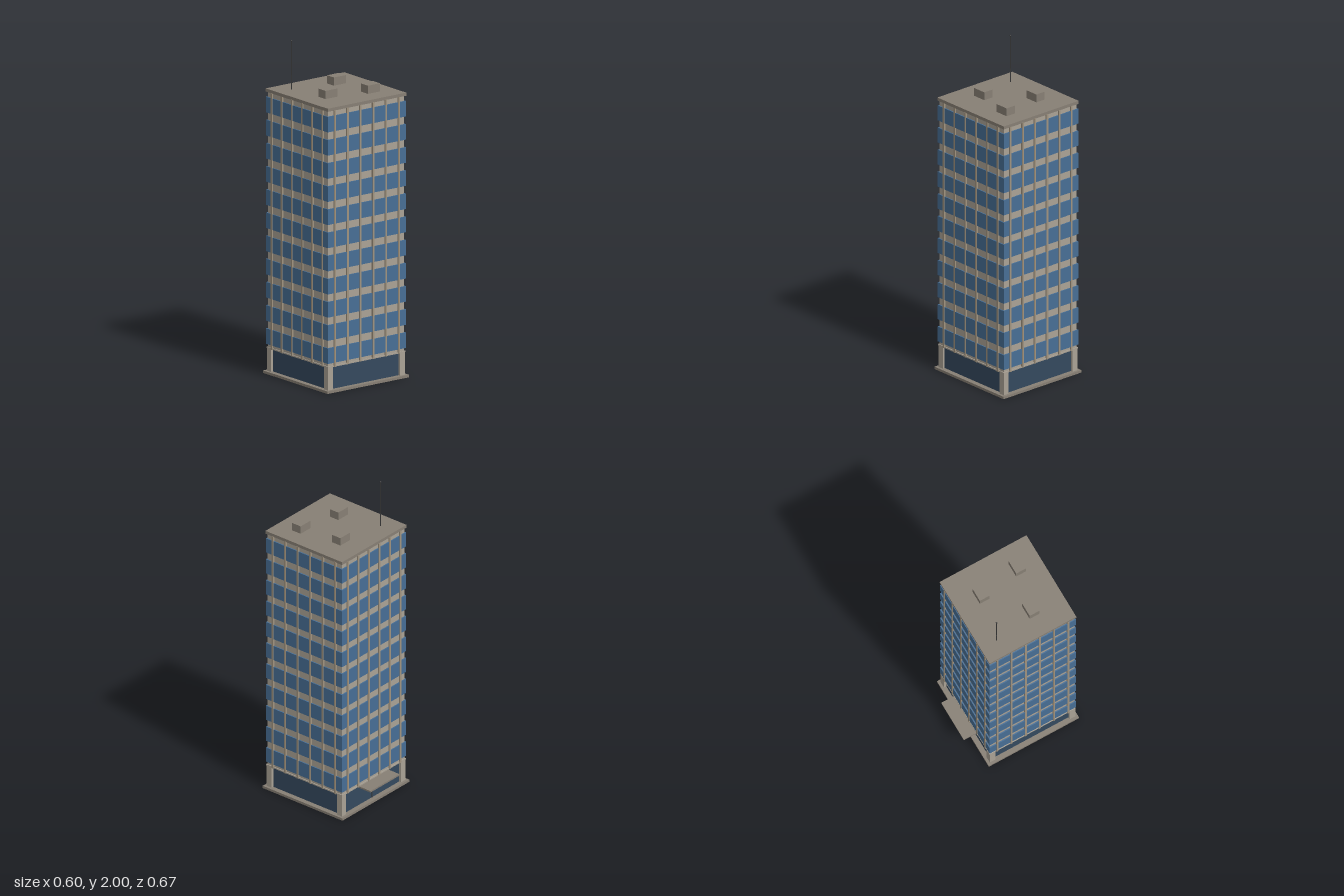
import * as THREE from 'three';

export function createModel() {
  const model = new THREE.Group();
  const tower = new THREE.Group();
  tower.name = 'tower';
  tower.position.z = 0.034;
  model.add(tower);

  const mat = (name, color) => {
    const m = new THREE.MeshStandardMaterial({ color });
    m.name = name;
    return m;
  };
  const concrete = mat('pale concrete', 0xaaa295);
  const stone = mat('roof stone', 0x877f74);
  const trim = mat('mullion tan', 0xa0937f);
  const glass = mat('window blue', 0x476e95);
  const lobbyGlass = mat('lobby glass', 0x34495e);
  const metal = mat('dark metal', 0x3a3a3a);

  const add = (name, geometry, material, x, y, z, parent = tower) => {
    const mesh = new THREE.Mesh(geometry, material);
    mesh.name = name;
    mesh.position.set(x, y, z);
    parent.add(mesh);
    return mesh;
  };
  // Box given by its bottom height and top height
  const box = (name, material, w, d, y0, y1, x = 0, z = 0, parent = tower) =>
    add(name, new THREE.BoxGeometry(w, y1 - y0, d), material, x, (y0 + y1) / 2, z, parent);

  // Plinth and recessed lobby with corner pillars
  box('plinth', stone, 0.602, 0.602, 0, 0.015);
  box('lobby', lobbyGlass, 0.54, 0.54, 0.015, 0.15);
  for (const x of [-1, 1]) {
    for (const z of [-1, 1]) {
      box('cornerPillar', concrete, 0.038, 0.038, 0.015, 0.15, x * 0.266, z * 0.266);
    }
  }

  // Tower core shows as spandrels between the projecting window bands
  box('core', concrete, 0.562, 0.562, 0.15, 1.688);
  box('firstFloorSlab', concrete, 0.574, 0.574, 0.15, 0.158);
  for (let i = 0; i < 11; i++) {
    const top = 0.268 + i * 0.1387;
    box('windowBand', glass, 0.576, 0.576, top - 0.093, top);
  }

  // Vertical mullions on all four sides
  for (let side = 0; side < 4; side++) {
    const face = new THREE.Group();
    face.name = 'mullions';
    face.rotation.y = side * Math.PI / 2;
    tower.add(face);
    for (let i = 0; i < 6; i++) {
      box('mullion', trim, 0.012, 0.014, 0.15, 1.688, (i - 2.5) * 0.0944, 0.284, face);
    }
  }

  // Roof slab and rooftop plant boxes
  box('roofSlab', stone, 0.579, 0.579, 1.686, 1.705);
  for (const [x, z] of [[0.101, -0.089], [-0.123, 0.115], [0.142, 0.177]]) {
    box('roofUnit', stone, 0.088, 0.064, 1.705, 1.754, x, z, model);
  }

  // Antenna with thicker foot and ball tip
  const rod = (r, y0, y1) => add('antennaRod', new THREE.CylinderGeometry(r, r, y1 - y0, 10),
    metal, -0.184, (y0 + y1) / 2, -0.148, model);
  rod(0.0035, 1.705, 1.79);
  rod(0.002, 1.79, 1.992);
  add('antennaTip', new THREE.SphereGeometry(0.005, 12, 8), metal, -0.184, 1.995, -0.148, model);

  // Rear entrance canopy and the seam between its double doors
  box('canopy', stone, 0.262, 0.087, 0.139, 0.149, 0, -0.2925, model);
  box('doorSeam', metal, 0.005, 0.004, 0.015, 0.139, 0, -0.237, model);

  return model;
}
